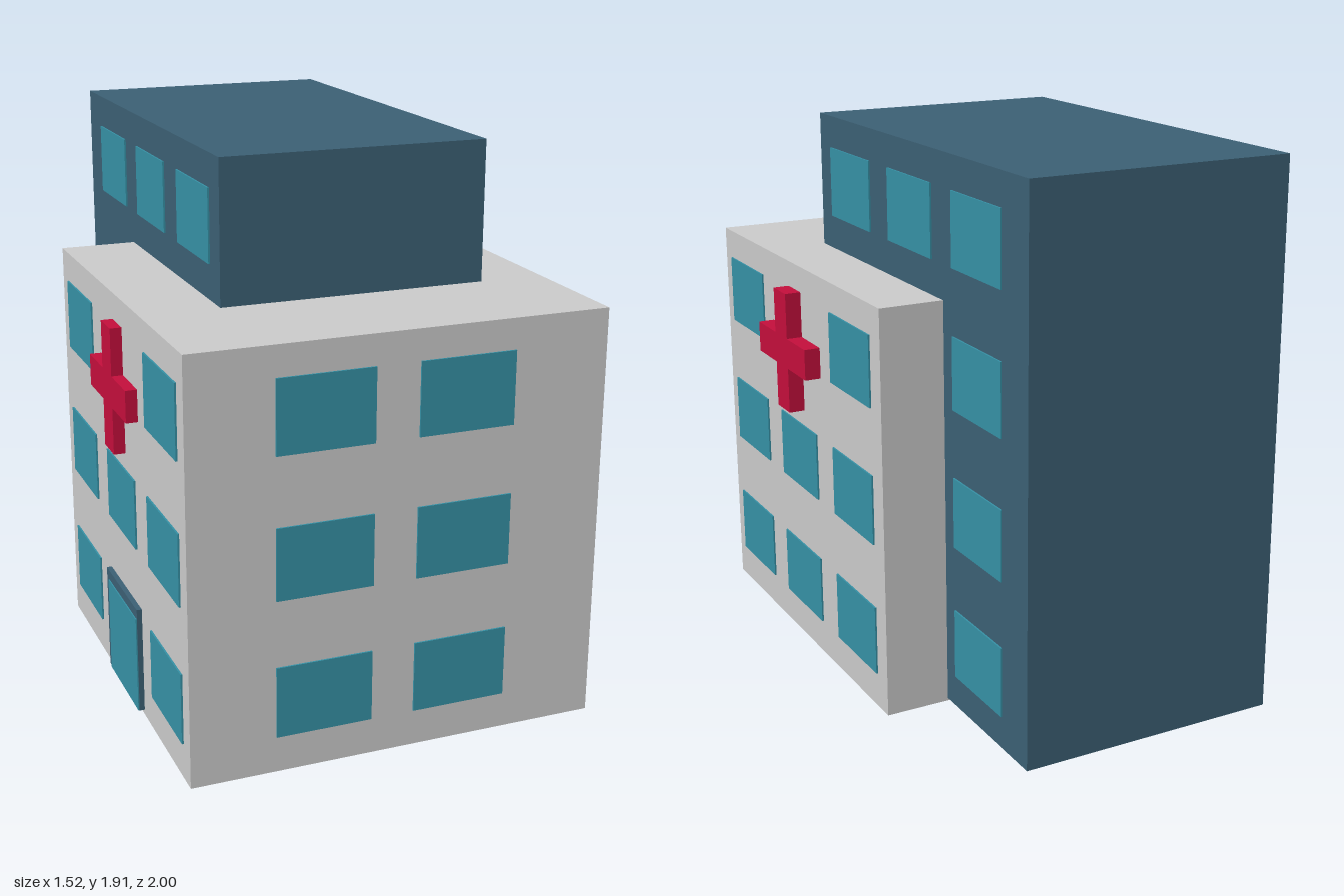
import * as THREE from 'three';

const mat = (name, color) => {
  const m = new THREE.MeshStandardMaterial({ color });
  m.name = name;
  return m;
};

export function createModel() {
  const wall = mat('pale grey wall', 0xc9c9c9);
  const navy = mat('slate blue', 0x3b5f73);
  const glass = mat('teal glass', 0x358fa3);
  const red = mat('red', 0xc20e3b);

  const model = new THREE.Group();
  model.name = 'hospital';

  // Box given by its extents on each axis
  const box = (name, material, [x0, x1], [y0, y1], [z0, z1], parent = model) => {
    const mesh = new THREE.Mesh(new THREE.BoxGeometry(x1 - x0, y1 - y0, z1 - z0), material);
    mesh.position.set((x0 + x1) / 2, (y0 + y1) / 2, (z0 + z1) / 2);
    mesh.name = name;
    parent.add(mesh);
  };

  // Main blocks
  const base = { x: [-0.725, 0.702], y: [0, 1.432], z: [-0.435, 0.993] };
  const tower = { x: [-0.455, 0.475], y: [0.01, 1.915], z: [-1, 0.55] };
  box('frontBlock', wall, base.x, base.y, base.z);
  box('tower', navy, tower.x, tower.y, tower.z);

  // Window grid shared by both blocks
  const rows = [[0.125, 0.37], [0.6, 0.845], [1.08, 1.328], [1.553, 1.802]];
  const cols = [[0.597, 0.928], [0.12, 0.453], [-0.358, -0.03], [-0.834, -0.505]];
  const windows = new THREE.Group();
  windows.name = 'windows';
  model.add(windows);
  const t = 0.006;

  // Front windows
  for (const row of rows.slice(0, 3))
    for (const x of [[-0.436, -0.107], [0.043, 0.372]])
      box('frontWindow', glass, x, row, [base.z[1], base.z[1] + t], windows);

  // Side windows, leaving room for the crosses and the door
  for (const side of [0, 1]) {
    const plate = (block) => side ? [block.x[1], block.x[1] + t] : [block.x[0] - t, block.x[0]];
    rows.forEach((row, r) => cols.forEach((col, c) => {
      const onTower = r === 3 || c === 3;
      if (r === 3 && c === 0) return;
      if (r === 2 && c === 1) return;
      if (r === 0 && c === 1 && side === 0) return;
      box(onTower ? 'towerWindow' : 'sideWindow', glass, plate(onTower ? tower : base), row, col, windows);
    }));
  }

  // Raised crosses on both sides
  const a = 0.055, b = 0.218;
  const cross = new THREE.Shape([
    [-a, -b], [a, -b], [a, -a], [b, -a], [b, a], [a, a],
    [a, b], [-a, b], [-a, a], [-b, a], [-b, -a], [-a, -a],
  ].map(([x, y]) => new THREE.Vector2(x, y)));
  for (const [name, x, turn, depth] of [
    ['leftCross', base.x[1], 1, 0.057], ['rightCross', base.x[0], -1, 0.04],
  ]) {
    const geo = new THREE.ExtrudeGeometry(cross, { depth, bevelEnabled: false });
    const mesh = new THREE.Mesh(geo, red);
    mesh.position.set(x, 1.122, 0.288);
    mesh.rotation.y = turn * Math.PI / 2;
    mesh.name = name;
    model.add(mesh);
  }

  // Side entrance: dark surround with a glass door
  const door = new THREE.Group();
  door.name = 'entrance';
  model.add(door);
  box('doorFrame', navy, [-0.743, base.x[0]], [0.018, 0.395], [0.11, 0.485], door);
  box('doorPanel', glass, [-0.747, -0.743], [0.018, 0.36], [0.14, 0.483], door);

  return model;
}
